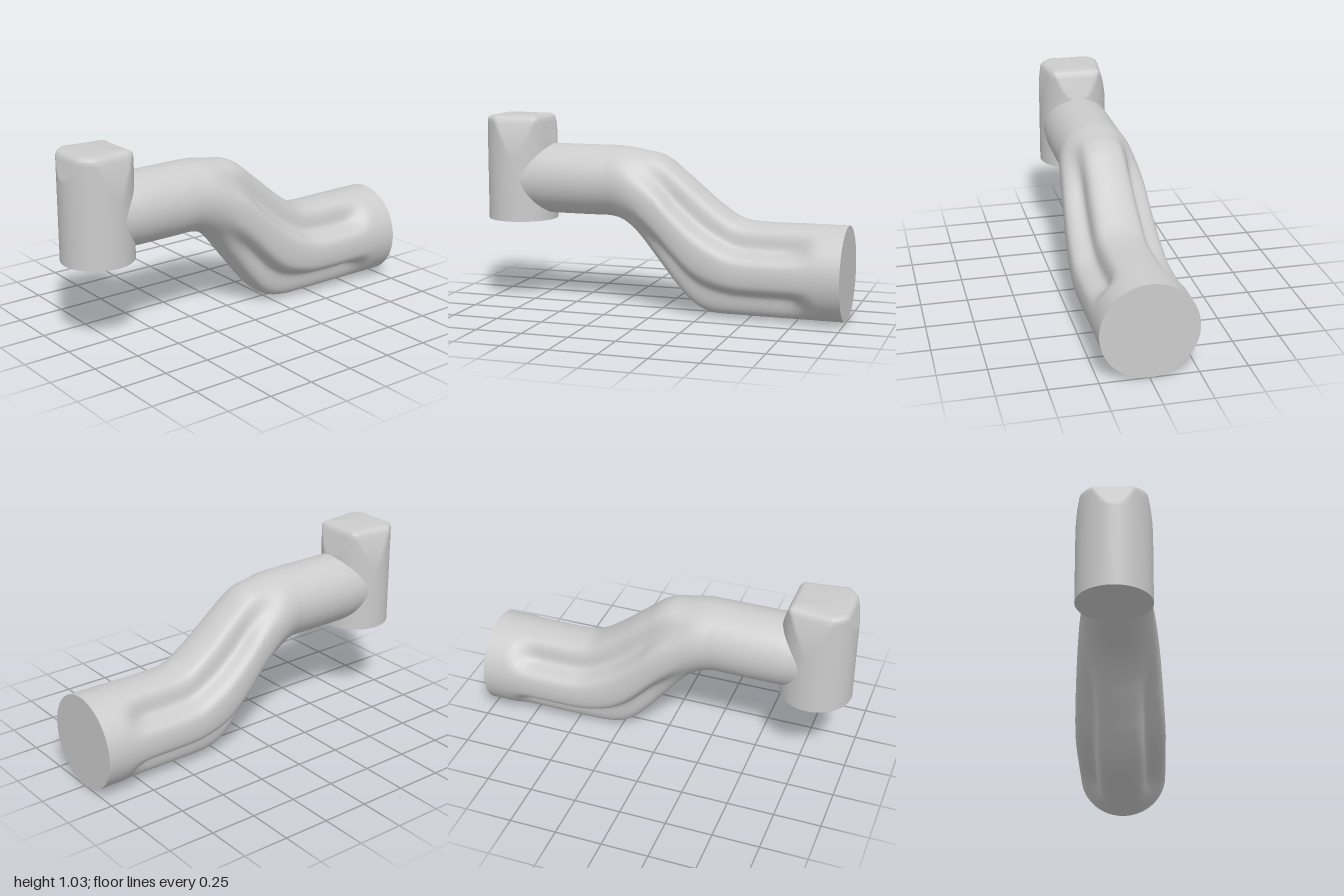
import * as THREE from 'three';
import { toCreasedNormals } from 'three/addons/utils/BufferGeometryUtils.js';

const material = new THREE.MeshStandardMaterial({ color: 0xcccccc });
const SIDES = 96;
const smooth = THREE.MathUtils.smoothstep;

// Closed skin over rings; at(i, angle) gives a point on ring i
function loft(rings, at) {
  const pos = [], index = [];
  for (let i = 0; i < rings; i++) {
    for (let j = 0; j < SIDES; j++) pos.push(...at(i, (j / SIDES) * Math.PI * 2));
  }
  const id = (i, j) => i * SIDES + (j % SIDES);
  for (let i = 0; i < rings - 1; i++) {
    for (let j = 0; j < SIDES; j++) {
      const a = id(i, j), b = id(i, j + 1), c = id(i + 1, j), d = id(i + 1, j + 1);
      index.push(a, b, c, b, d, c);
    }
  }
  // flat end caps
  for (let j = 1; j < SIDES - 1; j++) {
    index.push(id(0, 0), id(0, j + 1), id(0, j));
    index.push(id(rings - 1, 0), id(rings - 1, j), id(rings - 1, j + 1));
  }
  const g = new THREE.BufferGeometry();
  g.setAttribute('position', new THREE.Float32BufferAttribute(pos, 3));
  g.setIndex(index);
  return toCreasedNormals(g, 0.6);
}

function addPart(group, name, geometry) {
  const mesh = new THREE.Mesh(geometry, material);
  mesh.name = name;
  group.add(mesh);
  return mesh;
}

// S-shaped arm: stations of [z, top, bottom], with four scooped flutes
function armGeometry() {
  const path = new THREE.CatmullRomCurve3([
    [-1, 0.5, 0], [-0.8, 0.5, 0], [-0.5, 0.502, 0], [-0.42, 0.52, 0], [-0.32, 0.585, 0.001],
    [-0.25, 0.64, 0.015], [-0.18, 0.7, 0.057], [-0.1, 0.765, 0.14], [-0.04, 0.813, 0.215],
    [0.02, 0.842, 0.29], [0.1, 0.855, 0.39], [0.16, 0.866, 0.447], [0.22, 0.873, 0.482],
    [0.28, 0.875, 0.495], [0.4, 0.875, 0.495], [0.47, 0.875, 0.495],
  ].map((p) => new THREE.Vector3(...p)));
  const rings = 110;
  const stations = Array.from({ length: rings }, (_, i) => path.getPoint(i / (rings - 1)));
  return loft(rings, (i, a) => {
    const { x: z, y: top, z: bottom } = stations[i];
    const t = THREE.MathUtils.clamp((z + 0.4) / 0.67, 0, 1);
    const width = 0.25 - 0.06 * t ** 1.6;
    // flute depth around the section and along the arm
    const lift = Math.asin(Math.abs(Math.sin(a)));
    const off = Math.abs(lift - 0.7) / 0.48;
    const bump = off < 1 ? Math.cos((off * Math.PI) / 2) ** 2 : 0;
    const fade = smooth(z, -0.87, -0.72) * (1 - smooth(z, -0.12, 0.2));
    const r = 1 - 0.25 * bump * fade;
    return [
      Math.cos(a) * width * r,
      (top + bottom) / 2 + (Math.sin(a) * r * (top - bottom)) / 2,
      z,
    ];
  });
}

// Round sleeve that narrows slightly as it enters the head
function sleeveGeometry() {
  const profile = [[0, 0], [0.19, 0], [0.19, 0.15], [0.187, 0.2], [0.18, 0.27], [0.18, 0.32], [0, 0.32]];
  const g = new THREE.LatheGeometry(profile.map((p) => new THREE.Vector2(...p)), SIDES);
  g.rotateX(Math.PI / 2);
  return toCreasedNormals(g, 0.6);
}

// Upright head: a cylinder whose top is shaved into a soft four-sided crown
function headGeometry() {
  const R = 0.19, top = 1.03;
  const levels = [0.545, 0.7, 0.78];
  for (let k = 1; k <= 22; k++) levels.push(0.78 + k * 0.01);
  for (let k = 1; k <= 6; k++) levels.push(1.0 + 0.03 * Math.sin((k / 6) * Math.PI / 2));
  return loft(levels.length, (i, a) => {
    const y = levels[i];
    const side = R - 0.042 * Math.max(0, (y - 0.78) / 0.25) ** 2;
    const front = R - 0.035 * Math.max(0, (y - 0.9) / 0.13);
    const back = R - 0.05 * Math.max(0, (y - 0.86) / 0.17);
    const planes = [[0, front], [Math.PI, back], [Math.PI / 2 + 0.12, side], [-Math.PI / 2 - 0.12, side]];
    let r = R;
    for (const [dir, d] of planes) {
      const c = Math.cos(a - dir);
      if (c > 0.05) r = Math.min(r, d / c);
    }
    // rounded rim
    const k = Math.max(0, (y - 1.0) / 0.03);
    r -= 0.032 * (1 - Math.sqrt(Math.max(0, 1 - k * k)));
    return [Math.sin(a) * r, Math.min(y, top), 0.81 + Math.cos(a) * r];
  });
}

export function createModel() {
  const model = new THREE.Group();
  model.name = 'jointedArm';
  addPart(model, 'arm', armGeometry());
  addPart(model, 'wristSleeve', sleeveGeometry()).position.set(0, 0.685, 0.47);
  addPart(model, 'head', headGeometry());
  // mounting collar under the head
  const collar = new THREE.CylinderGeometry(0.19, 0.19, 0.085, SIDES);
  addPart(model, 'headCollar', collar).position.set(0, 0.5025, 0.81);
  return model;
}
